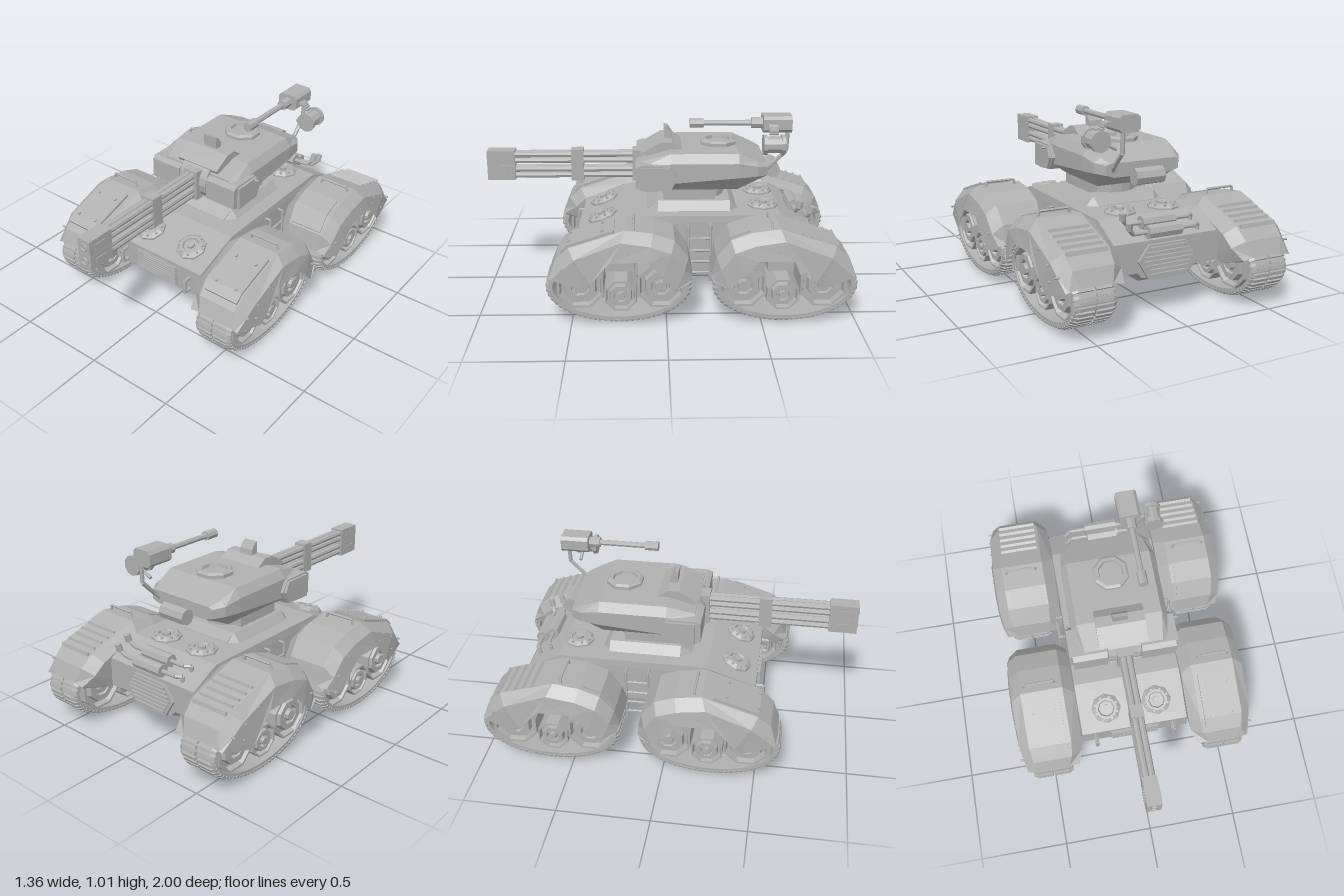
import * as THREE from 'three';
import { mergeGeometries } from 'three/addons/utils/BufferGeometryUtils.js';

const grey = new THREE.MeshStandardMaterial({ color: 0xb0b0b0, flatShading: true, side: THREE.DoubleSide });
grey.name = 'armour grey';
const V = (x, y, z) => new THREE.Vector3(x, y, z);
const points = list => list.map(p => new THREE.Vector2(...p));

function add(parent, name, geo) {
  const m = new THREE.Mesh(geo, grey);
  m.name = name;
  parent.add(m);
  return m;
}
function box(parent, name, x0, x1, y0, y1, z0, z1) {
  const m = add(parent, name, new THREE.BoxGeometry(x1 - x0, y1 - y0, z1 - z0));
  m.position.set((x0 + x1) / 2, (y0 + y1) / 2, (z0 + z1) / 2);
  return m;
}
// Cylinder from a to b
function rod(parent, name, a, b, r, seg = 8) {
  const A = V(...a), B = V(...b), d = B.clone().sub(A);
  const m = add(parent, name, new THREE.CylinderGeometry(r, r, d.length(), seg));
  m.position.copy(A).add(B).multiplyScalar(0.5);
  m.quaternion.setFromUnitVectors(V(0, 1, 0), d.normalize());
  return m;
}
// Chain of rods through several points
function pipe(parent, name, pts, r, seg = 6) {
  for (let i = 0; i + 1 < pts.length; i++) rod(parent, name, pts[i], pts[i + 1], r, seg);
}
// Side outline in (z, y), extruded from x0 to x1
function prism(parent, name, zy, x0, x1, hole) {
  const s = new THREE.Shape(points(zy));
  if (hole) s.holes.push(new THREE.Path(points(hole)));
  const g = new THREE.ExtrudeGeometry(s, { depth: x1 - x0, bevelEnabled: false });
  g.rotateY(-Math.PI / 2).translate(x1, 0, 0);
  return add(parent, name, g);
}
// Skin over cross-sections, front to back
function loft(parent, name, rows, closed = true) {
  const n = rows[0].length, idx = [], last = (rows.length - 1) * n;
  for (let i = 0; i + 1 < rows.length; i++)
    for (let j = 0; j < (closed ? n : n - 1); j++) {
      const a = i * n + j, b = i * n + (j + 1) % n;
      idx.push(a, b, a + n, b, b + n, a + n);
    }
  if (closed) for (let j = 1; j + 1 < n; j++) idx.push(0, j + 1, j, last, last + j, last + j + 1);
  const g = new THREE.BufferGeometry();
  g.setAttribute('position', new THREE.Float32BufferAttribute(rows.flat(2), 3));
  g.setIndex(idx);
  const flat = g.toNonIndexed();
  flat.computeVertexNormals();
  return add(parent, name, flat);
}
// Right half-section (top to bottom) mirrored into a ring at z
const ring = (z, half) => [...half.map(([x, y]) => [x, y, z]), ...half.slice().reverse().map(([x, y]) => [-x, y, z])];

// Octagonal wheel, dished the same on both sides
function wheel(parent, z, y, r) {
  const face = [[0, .122], [.22, .122], [.24, .095], [.36, .095], [.4, .112], [.64, .112], [.7, .08], [.84, .08], [.9, .112], [1, .112]];
  const prof = [...face, ...face.slice().reverse().map(([a, h]) => [a, -h])];
  const g = new THREE.LatheGeometry(points(prof.map(([a, h]) => [a * r, h])), 8);
  g.rotateY(Math.PI / 8).rotateZ(-Math.PI / 2);
  add(parent, 'roadWheel', g).position.set(.488, y, z);
}

// Track pod, built for the front left corner
function pod(rear) {
  const p = new THREE.Group();
  p.name = rear ? 'rearTrackPod' : 'frontTrackPod';
  const oval = (rx, up, down) => Array.from({ length: 60 }, (_, i) => {
    const t = i / 60 * Math.PI * 2, s = Math.sin(t);
    return [.25 + rx * Math.cos(t), .21 + s * (s > 0 ? up : down)];
  });
  const outer = oval(.368, .18, .195);
  prism(p, 'trackBand', outer, .392, .608, oval(.343, .16, .17));
  const path = new THREE.Shape(points([...outer, outer[0]])).getSpacedPoints(64);
  const lugs = [];
  for (let i = 0; i < 64; i++) {
    const a = path[i], b = path[(i + 1) % 64];
    for (const s of [1, -1]) {
      const cleat = new THREE.Shape(points([[.006, .01], [.115, .01], [.112, -.001], [.088, -.014], [.006, -.014]].map(([x, y]) => [.5 + s * x, y])));
      const g = new THREE.ExtrudeGeometry(cleat, { depth: .017, bevelEnabled: false });
      lugs.push(g.rotateX(-Math.atan2(b.y - a.y, b.x - a.x)).translate(0, a.y, a.x));
    }
  }
  add(p, 'trackLugs', mergeGeometries(lugs));

  wheel(p, .45, .21, .13);
  wheel(p, .03, .21, .13);
  wheel(p, .24, .155, .09);
  box(p, 'axleMount', .29, .5, .25, .33, .17, .31);

  // Fender: outer profile point, lower skirt point, end inset
  const st = [
    [.61, .285, .6, .268, .035], [.575, .365, .43, .22, .01], [.505, .43, .395, .26, 0], [.21, .525, .29, .375, 0],
    [.07, .507, .1, .375, 0], [-.04, .467, .02, .295, 0], [-.112, .37, -.05, .22, .01], [-.135, .265, -.12, .25, .03]];
  loft(p, 'fender', st.map(([z, y, lz, ly, e]) => {
    const k = Math.min(.5, .055 / Math.hypot(z - lz, y - ly));
    const sz = z + (lz - z) * k, sy = y + (ly - y) * k;
    return [[.315 + e, ly, lz], [.31 + e, sy, sz], [.37 + e, y, z], [.61 - e, y, z], [.665 - e, sy, sz], [.68 - e, ly, lz]];
  }), false);
  pipe(p, 'grabHandle', [[.41, .51, .17], [.42, .548, .17], [.58, .548, .17], [.59, .51, .17]], .007);

  const slope = z => .525 - .322 * (z - .21);
  if (rear) {
    for (let i = 0; i < 5; i++) {
      const z = .31 + i * .047;
      prism(p, 'louvre', [[z, slope(z) - .01], [z + .022, slope(z) + .007], [z + .028, slope(z) - .015]], .385, .6);
    }
    prism(p, 'accessPanel', [[.06, .49], [.06, .511], [-.043, .475], [-.108, .385], [-.1, .37]], .395, .585);
  } else {
    prism(p, 'fenderPanel', [[.27, .48], [.27, .521], [.51, .443], [.552, .405], [.54, .38], [.49, .41]], .395, .6);
    for (const x of [.435, .56]) for (const [z, y] of [[.33, .492], [.5, .437]])
      rod(p, 'rivet', [x, y, z], [x, y + .018, z + .006], .009);
  }
  for (const [z, y] of [[.54, .33], [.47, .29], [.46, .37], [.36, .42], [.33, .39], [.2, .42], [.03, .4], [0, .32], [-.06, .32]])
    rod(p, 'skirtRivet', [.65, y, z], [.673, y, z], .006, 6);
  return p;
}

// Round vent or lamp with a ring of bolts
function vent(parent, name, x, y, z, tilt) {
  const g = new THREE.Group();
  g.name = name;
  const prof = [[.085, -.01], [.085, .008], [.062, .025], [.048, .025], [.042, .012], [0, .012]];
  add(g, 'rim', new THREE.LatheGeometry(points(prof), 8));
  rod(g, 'core', [0, 0, 0], [0, .028, 0], .022);
  for (let i = 0; i < 8; i++) {
    const a = (i + .5) * Math.PI / 4, c = Math.cos(a) * .064, s = Math.sin(a) * .064;
    rod(g, 'bolt', [c, 0, s], [c, .026, s], .008, 6);
  }
  g.position.set(x, y, z);
  g.rotation.x = tilt;
  parent.add(g);
}

export function createModel() {
  const model = new THREE.Group();
  model.name = 'tank';
  for (const rear of [false, true]) for (const side of [1, -1]) {
    const p = pod(rear);
    p.scale.set(side, 1, rear ? -1 : 1);
    if (rear) p.position.z = -.37;
    model.add(p);
  }

  // Hull
  const hull = new THREE.Group();
  hull.name = 'hull';
  model.add(hull);
  const sec = top => [[.302, top], [.306, top - .04], [.31, .24]];
  loft(hull, 'hullBody', [[.47, .39], [.2, .488], [-.63, .488], [-.8, .4]].map(([z, t]) => ring(z, sec(t))));
  loft(hull, 'belly', [ring(.46, [[.175, .245], [.16, .23]]), ring(.38, [[.175, .245], [.12, .168]]),
    ring(-.72, [[.175, .245], [.12, .168]]), ring(-.8, [[.175, .245], [.14, .21]])]);
  loft(hull, 'turretBase', [ring(.1, [[.17, .49], [.17, .48]]), ring(.04, [[.185, .537], [.23, .48]]),
    ring(-.36, [[.185, .537], [.23, .48]]), ring(-.4, [[.17, .49], [.17, .48]])]);
  box(hull, 'grillePlate', -.14, .14, .25, .37, .465, .476);
  for (let i = 0; i < 8; i++) box(hull, 'grilleSlat', -.135, .135, .256 + i * .0145, .264 + i * .0145, .47, .486);
  const hex = prism(hull, 'rearGrille', [[-.17, .3], [-.11, .38], [.11, .38], [.17, .3], [.11, .2], [-.11, .2]], 0, .02);
  hex.rotation.y = Math.PI / 2;
  hex.position.z = -.795;
  for (let i = 0; i < 7; i++) {
    const y = .22 + i * .023, w = .15 - Math.abs(y - .295) * .6;
    box(hull, 'rearSlat', -w, w, y, y + .011, -.826, -.81);
  }
  for (const s of [1, -1]) {
    vent(hull, 'frontLamp', s * .145, .437, .35, .34);
    vent(hull, 'rearVent', s * .13, .489, -.55, 0);
    pipe(hull, 'towHook', [[s * .225, .34, .46], [s * .225, .34, .51], [s * .225, .265, .51], [s * .225, .265, .46]], .012);
    // Side ladder between the pods
    for (const z of [-.122, -.245])
      pipe(hull, 'ladderRail', [[s * .3, .44, z], [s * .338, .44, z], [s * .338, .12, z]], .008);
    for (const y of [.17, .235, .3, .37]) rod(hull, 'ladderRung', [s * .338, y, -.122], [s * .338, y, -.245], .008, 6);
  }
  // Exhaust pipes on the rear slope
  for (const [z, y] of [[-.725, .475], [-.79, .442]]) {
    pipe(hull, 'exhaustPipe', [[-.2, y - .06, z + .025], [-.2, y, z + .02], [-.17, y, z], [.19, y, z], [.22, y + .03, z - .015], [.225, y + .06, z - .02]], .012, 8);
    rod(hull, 'exhaustTip', [.222, y + .03, z - .015], [.226, y + .07, z - .025], .018);
    rod(hull, 'muffler', [-.08, y, z], [.11, y, z], .036);
  }

  // Turret
  const turret = new THREE.Group();
  turret.name = 'turret';
  model.add(turret);
  box(turret, 'turretNeck', -.165, .165, .53, .61, -.28, .01);
  rod(turret, 'turretRing', [0, .53, -.19], [0, .61, -.19], .15, 16);
  loft(turret, 'turretBody', [
    ring(.12, [[.215, .775], [.25, .75], [.25, .64], [.17, .615]]),
    ring(-.03, [[.235, .818], [.268, .77], [.268, .66], [.18, .6]]),
    ring(-.4, [[.235, .818], [.268, .77], [.268, .69], [.18, .6]]),
    ring(-.5, [[.22, .775], [.255, .75], [.255, .695], [.18, .65]]),
    ring(-.558, [[.19, .75], [.215, .74], [.215, .69], [.17, .675]])]);
  for (const s of [1, -1]) {
    prism(turret, 'cheekArmour', [[.16, .64], [.16, .755], [.13, .768], [-.03, .765], [-.07, .7], [-.03, .63], [.1, .62]], .095, .285).scale.x = s;
    prism(turret, 'cheekPlate', [[.13, .63], [.13, .758], [-.03, .758], [-.06, .7], [-.03, .635]], .28, .3).scale.x = s;
  }
  rod(turret, 'sideKnob', [.29, .75, -.01], [.325, .75, -.01], .007, 6);
  rod(turret, 'mantlet', [-.09, .705, .05], [.09, .705, .05], .112, 16);
  prism(turret, 'mantletHood', [[.12, .8], [.02, .857], [-.04, .857], [-.1, .815], [-.02, .79], [.1, .77]], -.135, .135);
  prism(turret, 'sight', [[.0, .85], [.005, .925], [-.015, .92], [-.04, .885], [-.045, .85]], -.042, .042);
  const hatch = [[.105, 0], [.105, .02], [.09, .03], [.072, .03], [.068, .012], [0, .012]];
  add(turret, 'hatch', new THREE.LatheGeometry(points(hatch), 8, Math.PI / 8)).position.set(0, .816, -.3);

  // Twin main guns
  for (const y of [.743, .658]) {
    for (const dx of [-.016, .016]) for (const dy of [-.017, .017])
      rod(turret, 'gunTube', [dx, y + dy, .1], [dx, y + dy, .86], .0175);
    box(turret, 'muzzleBlock', -.04, .04, y - .042, y + .042, .84, .995);
    add(turret, 'muzzleRing', new THREE.TorusGeometry(.02, .004, 6, 12)).position.set(0, y, .996);
    for (const s of [1, -1])
      box(turret, 'muzzleSlot', s * .041 - .003, s * .041 + .003, y - .013, y + .013, .885, .96);
  }
  box(turret, 'gunClamp', -.036, .036, .61, .788, .455, .525);
  box(turret, 'gunCollar', -.045, .045, .612, .788, .13, .18);

  // Remote gun on the rear of the turret
  const gun = new THREE.Group();
  gun.name = 'remoteGun';
  model.add(gun);
  rod(gun, 'mountDrum', [-.085, .68, -.605], [.08, .68, -.605], .045);
  pipe(gun, 'mountArm', [[.17, .7, -.54], [.18, .74, -.58], [.18, .82, -.66], [.18, .94, -.665]], .012);
  const shell = [[.044, .045], [.06, .028], [.06, -.028], [.044, -.045]];
  loft(gun, 'gunBody', [-.53, -.685].map(z => ring(z, shell))).position.set(.15, .97, 0);
  rod(gun, 'gunBarrel', [.15, .97, -.2], [.15, .97, -.53], .016);
  rod(gun, 'barrelSleeve', [.15, .97, -.47], [.15, .97, -.54], .03);
  rod(gun, 'barrelMuzzle', [.15, .97, -.135], [.15, .97, -.21], .027);
  rod(gun, 'ammoDrum', [.285, .882, -.53], [.285, .882, -.62], .046, 10);
  for (const z of [-.52, -.615]) rod(gun, 'drumRim', [.285, .882, z], [.285, .882, z - .02], .056, 10);
  rod(gun, 'drumBracket', [.18, .83, -.6], [.26, .87, -.6], .01, 6);
  const belt = new THREE.QuadraticBezierCurve3(V(.205, .965, -.58), V(.24, .98, -.58), V(.265, .92, -.58));
  for (const q of belt.getPoints(7)) rod(gun, 'beltRound', [q.x, q.y, q.z - .025], [q.x, q.y, q.z + .025], .007, 6);
  return model;
}
